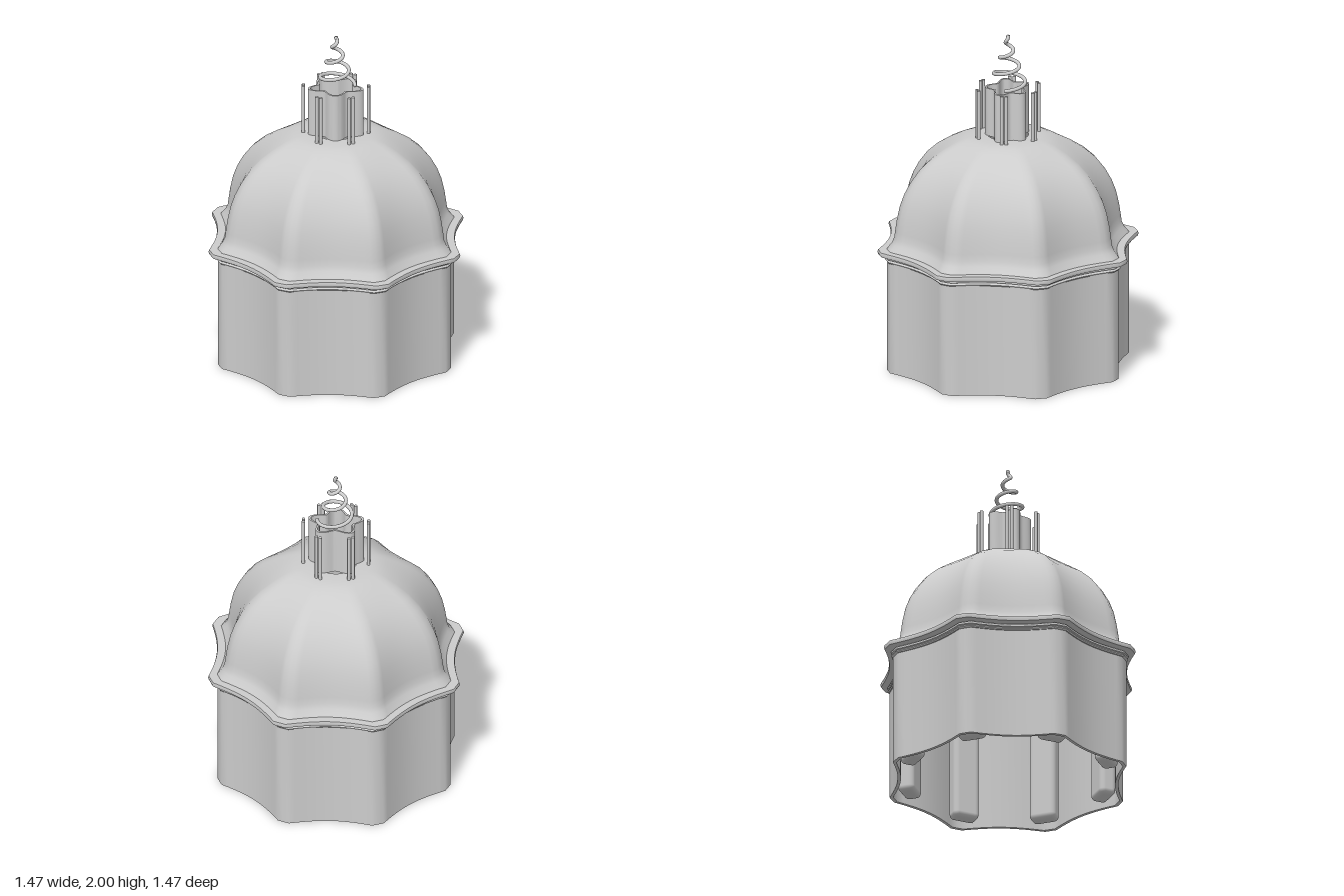
import * as THREE from 'three';
import { toCreasedNormals } from 'three/addons/utils/BufferGeometryUtils.js';
import { RoundedBoxGeometry } from 'three/addons/geometries/RoundedBoxGeometry.js';

const stone = new THREE.MeshStandardMaterial({ color: 0xcccccc, side: THREE.DoubleSide });
stone.name = 'stone';

// Eight concave sides with blunt corners; e = extent, k blends circle (0) to star (1)
function starRadius(theta, e, k) {
  const half = Math.PI / 8;
  const phi = Math.abs(theta - Math.round(theta / (2 * half)) * 2 * half);
  const u = phi / half;
  const side = (0.945 + 0.07 * u * u) / Math.cos(phi);
  const cap = 1.06 / Math.cos(half - phi);
  return e * (1 + (Math.min(side, cap) - 1) * k);
}

// Lofts a profile of [extent, y, k] around the axis using a point rule
function loft(profile, columns, pointAt) {
  const position = [];
  for (let j = 0; j < profile.length - 1; j++) {
    for (let i = 0; i < columns; i++) {
      const t0 = (i / columns) * Math.PI * 2;
      const t1 = (((i + 1) % columns) / columns) * Math.PI * 2;
      const a = pointAt(t0, profile[j]), b = pointAt(t0, profile[j + 1]);
      const c = pointAt(t1, profile[j + 1]), d = pointAt(t1, profile[j]);
      position.push(...a, ...b, ...c, ...a, ...c, ...d);
    }
  }
  const g = new THREE.BufferGeometry();
  g.setAttribute('position', new THREE.Float32BufferAttribute(position, 3));
  return toCreasedNormals(g, 0.9);
}

const starPoint = (t, [e, y, k = 1]) => {
  const r = starRadius(t, e, k);
  return [r * Math.cos(t), y, r * Math.sin(t)];
};

// Five soft lobes, wider across x
const lobePoint = (t, [offset, y]) => {
  const r = 0.113 + offset + 0.022 * Math.cos(5 * (t - Math.PI / 2));
  return [1.25 * r * Math.cos(t), y, r * Math.sin(t)];
};

class ConeSpiral extends THREE.Curve {
  getPoint(t, target = new THREE.Vector3()) {
    const a = t * 3.15 * Math.PI * 2;
    const r = 0.11 * (1 - t);
    return target.set(r * Math.cos(a), 1.69 + 0.305 * t, -r * Math.sin(a));
  }
}

export function createModel() {
  const model = new THREE.Group();
  const add = (name, geometry, parent = model) => {
    const mesh = new THREE.Mesh(geometry, stone);
    mesh.name = name;
    parent.add(mesh);
    return mesh;
  };

  // Hollow drum wall, open underneath
  add('wall', loft([[0.66, 0.7], [0.66, 0], [0.68, 0], [0.68, 0.7]], 128, starPoint));

  // Stepped cornice
  add('cornice', loft([
    [0.66, 0.672], [0.686, 0.672], [0.692, 0.68], [0.686, 0.688], [0.68, 0.69],
    [0.692, 0.694], [0.692, 0.706], [0.682, 0.712], [0.73, 0.715], [0.734, 0.728],
    [0.73, 0.741], [0.67, 0.741],
  ], 128, starPoint));

  // Ribbed dome, turning circular towards the open top
  const dome = [
    [0.685, 0.735, 1], [0.672, 0.755, 1], [0.652, 0.78, 1], [0.639, 0.81, 1],
    [0.634, 0.85, 1], [0.624, 0.92, 1], [0.607, 1.0, 1], [0.583, 1.07, 0.97],
    [0.548, 1.14, 0.92], [0.5, 1.21, 0.84], [0.44, 1.27, 0.72], [0.37, 1.32, 0.56],
    [0.3, 1.36, 0.38], [0.25, 1.38, 0.22], [0.2, 1.39, 0.08], [0.12, 1.392, 0],
  ];
  add('dome', loft(dome, 128, starPoint));

  // Rounded piers inside the corners
  const piers = new THREE.Group();
  piers.name = 'innerPiers';
  model.add(piers);
  const pierGeometry = new RoundedBoxGeometry(0.1, 0.66, 0.16, 3, 0.03);
  for (let i = 0; i < 8; i++) {
    const a = (i + 0.5) * Math.PI / 4;
    const pier = add('pier', pierGeometry, piers);
    pier.position.set(0.61 * Math.cos(a), 0.345, 0.61 * Math.sin(a));
    pier.rotation.y = -a;
  }

  // Lobed lantern tube
  add('lantern', loft([
    [-0.012, 1.39], [0, 1.39], [0, 1.68], [-0.012, 1.68], [-0.012, 1.39],
  ].reverse().map(([o, y]) => [o, y]).reverse(), 100, lobePoint));

  // Six pairs of slender columns around the lantern
  const columns = new THREE.Group();
  columns.name = 'lanternColumns';
  model.add(columns);
  const columnGeometry = new THREE.CylinderGeometry(0.01, 0.01, 0.3, 16);
  for (let i = 0; i < 6; i++) {
    const a = i * Math.PI / 3;
    for (const s of [-0.0135, 0.0135]) {
      const column = add('column', columnGeometry, columns);
      column.position.set(
        0.19 * Math.cos(a) - s * Math.sin(a), 1.535,
        0.19 * Math.sin(a) + s * Math.cos(a));
    }
  }

  // Conical spiral finial
  add('spiralFinial', new THREE.TubeGeometry(new ConeSpiral(), 240, 0.011, 12));
  const start = add('finialStart', new THREE.SphereGeometry(0.011, 12, 8));
  start.position.set(0.11, 1.69, 0);
  const tip = add('finialTip', new THREE.SphereGeometry(0.011, 12, 8));
  tip.position.set(0, 1.989, 0);

  return model;
}
